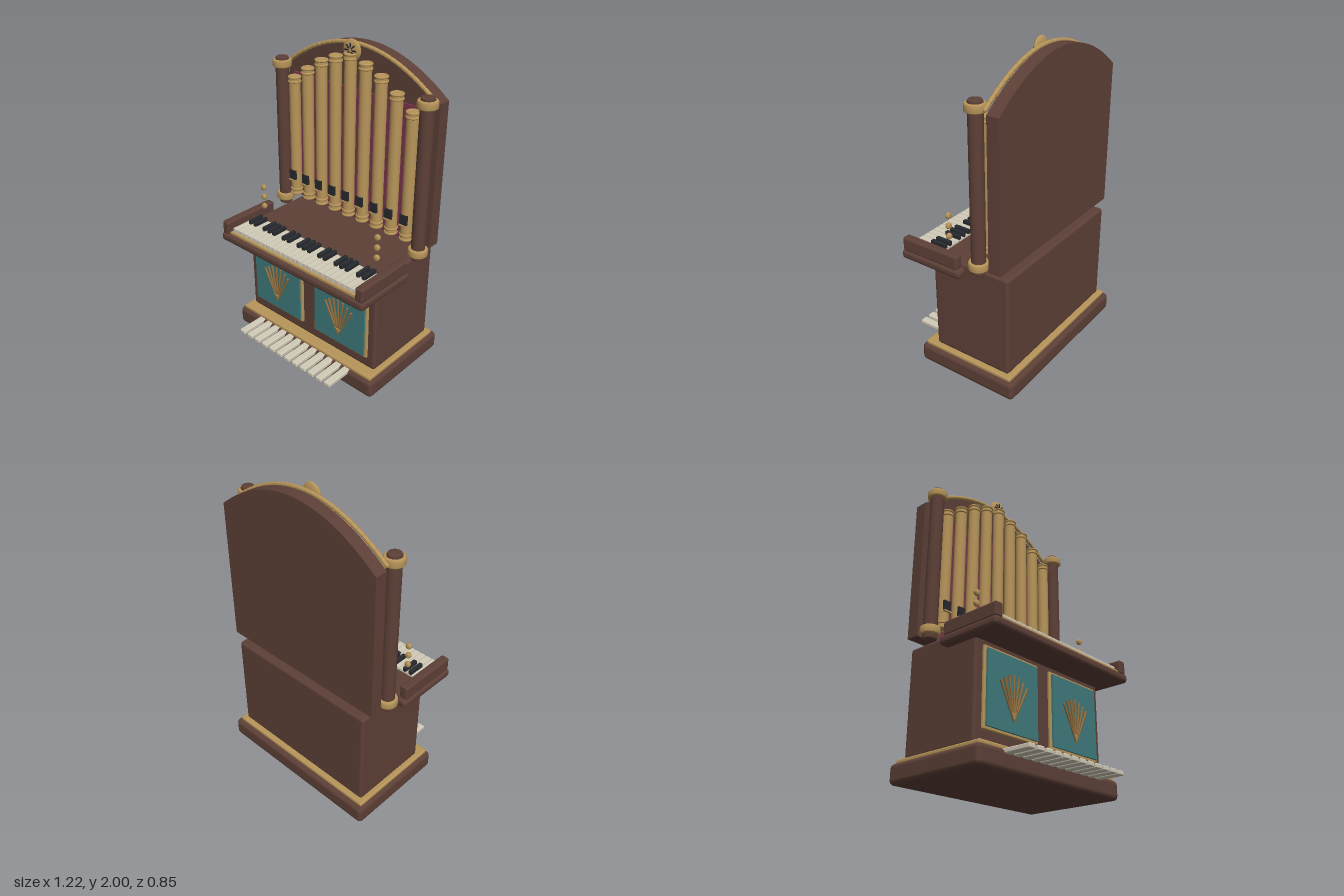
import * as THREE from 'three';
import { RoundedBoxGeometry } from 'three/addons/geometries/RoundedBoxGeometry.js';

const mat = (color) => new THREE.MeshStandardMaterial({ color });
const WOOD = mat(0x5d4037), GOLD = mat(0xb8955a), TEAL = mat(0x3f7a7c), RED = mat(0x7b354c);
const IVORY = mat(0xd2cbb8), EBONY = mat(0x26292e), BRONZE = mat(0x94703f);

export function createModel() {
  const root = new THREE.Group();
  const add = (parent, name, geometry, material, x = 0, y = 0, z = 0) => {
    const mesh = new THREE.Mesh(geometry, material);
    mesh.name = name;
    mesh.position.set(x, y, z);
    parent.add(mesh);
    return mesh;
  };
  const group = (name, x = 0, y = 0, z = 0) => {
    const g = new THREE.Group();
    g.name = name;
    g.position.set(x, y, z);
    root.add(g);
    return g;
  };
  // box given by its limits, with rounded edges when r > 0
  const block = (parent, name, material, [x0, x1], [y0, y1], [z0, z1], r = 0) => {
    const s = [x1 - x0, y1 - y0, z1 - z0];
    const geo = r ? new RoundedBoxGeometry(...s, 2, r) : new THREE.BoxGeometry(...s);
    return add(parent, name, geo, material, (x0 + x1) / 2, (y0 + y1) / 2, (z0 + z1) / 2);
  };
  const lathe = (pts, seg = 24) =>
    new THREE.LatheGeometry(pts.map(([r, y]) => new THREE.Vector2(r, y)), seg);

  // case
  block(root, 'plinth', WOOD, [-0.58, 0.58], [0, 0.118], [-0.425, 0.26], 0.028);
  block(root, 'plinthTrim', GOLD, [-0.557, 0.557], [0.112, 0.14], [-0.395, 0.24], 0.01);
  block(root, 'lowerCase', WOOD, [-0.53, 0.53], [0.135, 0.785], [-0.365, 0.17], 0.02);
  block(root, 'keyTable', WOOD, [-0.587, 0.587], [0.705, 0.762], [-0.065, 0.368], 0.022);
  block(root, 'keyBed', GOLD, [-0.522, 0.522], [0.75, 0.776], [-0.02, 0.345]);

  // arched back panel
  const archY = (x) => 1.965 - 0.23 * (x / 0.575) ** 2;
  const arch = new THREE.Shape();
  arch.moveTo(-0.575, 0.83);
  arch.lineTo(0.575, 0.83);
  arch.lineTo(0.575, archY(0.575));
  arch.quadraticCurveTo(0, 2.195, -0.575, archY(0.575));
  arch.closePath();
  add(root, 'backPanel',
    new THREE.ExtrudeGeometry(arch, { depth: 0.078, bevelEnabled: false, curveSegments: 32 }),
    WOOD, 0, 0, -0.347);
  block(root, 'backCloth', RED, [-0.52, 0.52], [0.835, 1.69], [-0.264, -0.25]);

  // short rods following the arch
  const trim = group('archTrim');
  const N = 28;
  for (let i = 0; i < N; i++) {
    const x0 = -0.56 + (1.12 * i) / N, x1 = x0 + 1.12 / N;
    const dy = archY(x1) - archY(x0);
    const rod = add(trim, 'archBead',
      new THREE.CapsuleGeometry(0.013, Math.hypot(x1 - x0, dy) - 0.014, 3, 8),
      GOLD, (x0 + x1) / 2, (archY(x0) + archY(x1)) / 2, -0.247);
    rod.rotation.z = Math.atan2(dy, x1 - x0) - Math.PI / 2;
  }

  // rosette with dark rays
  const rosette = group('rosette', 0, 1.936, -0.204);
  add(rosette, 'rosetteDisc', new THREE.SphereGeometry(0.064, 28, 16), GOLD).scale.z = 0.3;
  for (let i = 0; i < 8; i++) {
    const a = (i * Math.PI) / 4;
    add(rosette, 'rosetteRay', new THREE.BoxGeometry(0.028, 0.008, 0.012), EBONY,
      0.027 * Math.cos(a), 0.027 * Math.sin(a), 0.015).rotation.z = a;
  }

  // pipes with collars, mouth and lips
  const tops = [1.925, 1.89, 1.842, 1.768, 1.69];
  for (let i = -4; i <= 4; i++) {
    const top = tops[Math.abs(i)];
    const pipe = group('pipe', i * 0.1132, 0, -0.192);
    add(pipe, 'pipeTube', new THREE.CylinderGeometry(0.036, 0.036, top - 0.89, 24), GOLD, 0, (top + 0.88) / 2, 0);
    for (const y of [0.888, 0.918, top - 0.035, top - 0.008]) {
      add(pipe, 'pipeCollar', new THREE.TorusGeometry(0.035, 0.0075, 8, 24), GOLD, 0, y, 0).rotation.x = Math.PI / 2;
    }
    add(pipe, 'pipeMouth', new THREE.BoxGeometry(0.05, 0.064, 0.02), EBONY, 0, 1.024, 0.031);
    add(pipe, 'pipeLip', new THREE.BoxGeometry(0.054, 0.009, 0.024), GOLD, 0, 0.988, 0.036);
  }

  // columns, key cheeks and stop knobs on both sides
  const collar = [[0.038, -0.024], [0.054, -0.024], [0.06, -0.017], [0.06, 0.017], [0.054, 0.024], [0.038, 0.024]];
  for (const s of [-1, 1]) {
    const column = group(s > 0 ? 'leftColumn' : 'rightColumn', s * 0.55, 0, -0.183);
    add(column, 'columnShaft',
      lathe([[0, 0.785], [0.036, 0.785], [0.042, 0.792], [0.042, 1.785], [0.036, 1.795], [0, 1.795]]), WOOD);
    for (const y of [0.838, 1.755]) add(column, 'columnCollar', lathe(collar), GOLD, 0, y, 0);

    const xs = [s * 0.55 - 0.028, s * 0.55 + 0.028];
    block(root, 'keyCheek', WOOD, xs, [0.755, 0.845], [-0.042, 0.36], 0.014);

    for (const y of [0.887, 0.954, 1.021]) {
      const knob = add(root, 'stopKnob',
        lathe([[0, -0.013], [0.014, -0.013], [0.019, -0.006], [0.019, 0.006], [0.014, 0.013], [0, 0.013]], 16),
        GOLD, s * 0.464, y, 0.097);
      knob.rotation.x = Math.PI / 2;
    }
  }

  // keyboard: 24 naturals, sharps in groups of two and three
  const keys = group('keyboard');
  const pitch = 0.0428;
  for (let k = 0; k < 24; k++) {
    const x = (k - 11.5) * pitch;
    block(keys, 'naturalKey', IVORY, [x - 0.0195, x + 0.0195], [0.77, 0.802], [0.118, 0.328], 0.003);
    if ([1, 2, 4, 5, 6].includes(k % 7)) {
      const b = (k - 12) * pitch;
      block(keys, 'sharpKey', EBONY, [b - 0.0125, b + 0.0125], [0.795, 0.826], [0.118, 0.223], 0.003);
    }
  }

  // front panels with a fan of ribs
  for (const s of [-1, 1]) {
    const cx = s * 0.265;
    block(root, 'panelFrame', GOLD, [cx - 0.214, cx + 0.214], [0.215, 0.677], [0.16, 0.185], 0.006);
    block(root, 'panelField', TEAL, [cx - 0.199, cx + 0.199], [0.232, 0.66], [0.17, 0.196]);
    const fan = group('fan', cx, 0.295, 0.2);
    for (let i = -3; i <= 3; i++) {
      const rib = new THREE.CylinderGeometry(0.0075, 0.005, 0.262 - 0.009 * Math.abs(i), 8);
      rib.translate(0, 0.131 - 0.0045 * Math.abs(i), 0);
      add(fan, 'fanRib', rib, BRONZE).rotation.z = -i * 0.155;
    }
    const base = add(fan, 'fanBase', new THREE.ConeGeometry(0.027, 0.055, 16), GOLD, 0, 0.018, 0);
    base.rotation.x = Math.PI;
    base.scale.z = 0.45;
  }

  // pedals
  for (let i = 0; i < 12; i++) {
    const x = (i - 5.5) * 0.068;
    block(root, 'pedal', IVORY, [x - 0.024, x + 0.024], [0.09, 0.118], [0.18, 0.425], 0.007);
  }
  return root;
}
